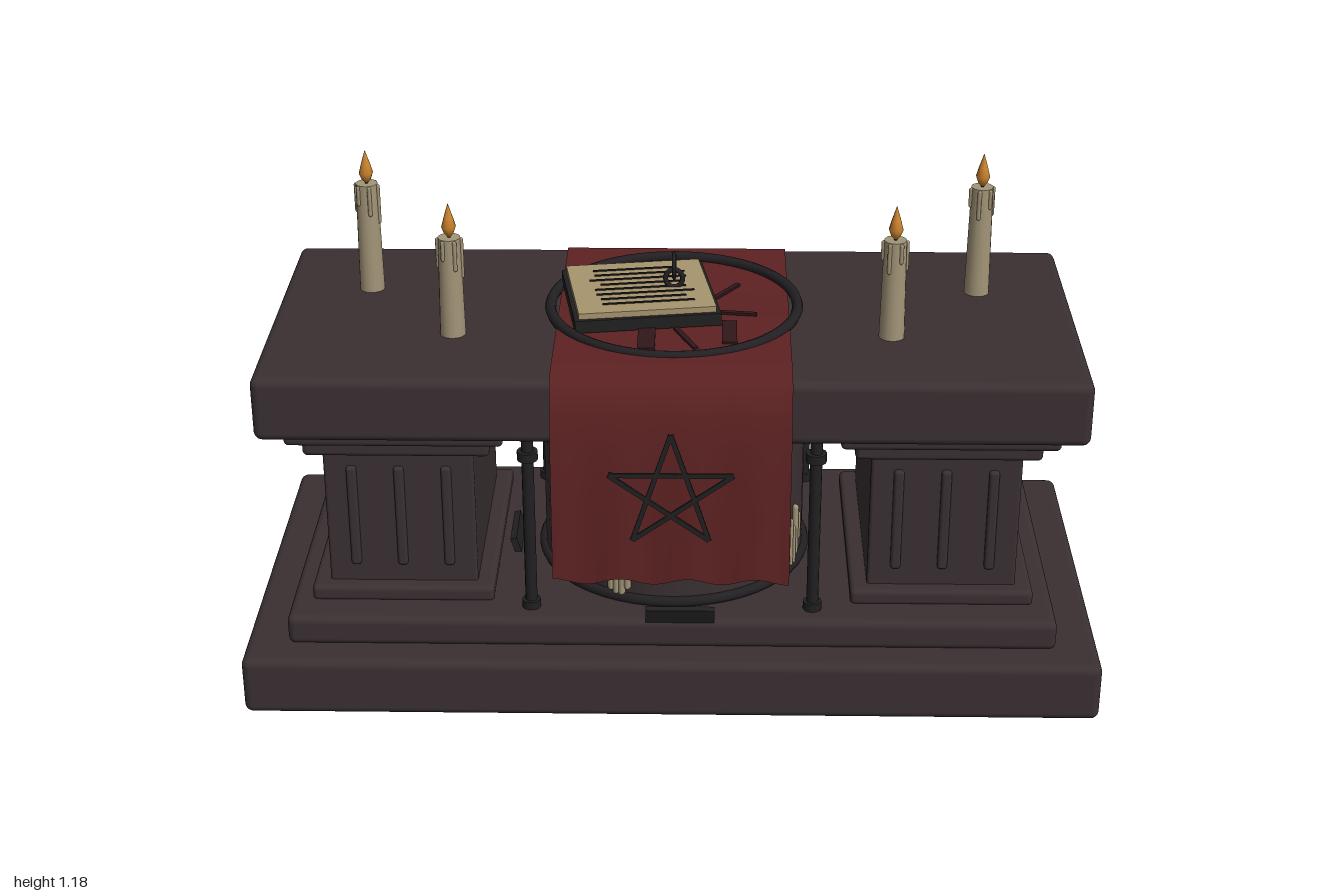
import * as THREE from 'three';
import { RoundedBoxGeometry } from 'three/addons/geometries/RoundedBoxGeometry.js';

const mat = (name, color, side = THREE.FrontSide) => {
  const m = new THREE.MeshStandardMaterial({ color, side });
  m.name = name;
  return m;
};

export function createModel() {
  const root = new THREE.Group();
  root.name = 'altar';
  const stone = mat('dark stone', 0x3a3032);
  const iron = mat('black iron', 0x222022);
  const red = mat('red cloth', 0x5e2222, THREE.DoubleSide);
  const stain = mat('dark stain', 0x321719);
  const wax = mat('candle wax', 0xa39578);
  const paper = mat('old paper', 0xa8956f);
  const fire = mat('flame orange', 0xcc842f);

  const add = (name, geo, m, x = 0, y = 0, z = 0, parent = root) => {
    const mesh = new THREE.Mesh(geo, m);
    mesh.name = name;
    mesh.position.set(x, y, z);
    parent.add(mesh);
    return mesh;
  };
  // rounded slab between two heights
  const slab = (name, w, d, y0, y1, r, x = 0, m = stone) =>
    add(name, new RoundedBoxGeometry(w, y1 - y0, d, 3, r), m, x, (y0 + y1) / 2, 0);
  const box = (w, h, d) => new THREE.BoxGeometry(w, h, d);
  const tube = (pts, r, closed = false) => new THREE.TubeGeometry(
    new THREE.CatmullRomCurve3(pts.map(p => new THREE.Vector3(...p)), closed, 'catmullrom', 0.1),
    pts.length * 6, r, 6, closed);

  // steps and table top
  slab('baseStep', 2, 0.94, 0, 0.145, 0.02);
  slab('upperStep', 1.8, 0.78, 0.14, 0.215, 0.018);
  slab('tableTop', 1.885, 0.78, 0.675, 0.83, 0.02);

  // fluted pedestals
  for (const s of [-1, 1]) {
    const cx = s * 0.635;
    slab('pedestalFoot', 0.43, 0.61, 0.21, 0.25, 0.012, cx);
    slab('pedestalShaft', 0.35, 0.54, 0.24, 0.61, 0.008, cx);
    slab('pedestalCap', 0.43, 0.61, 0.595, 0.64, 0.012, cx);
    slab('pedestalCornice', 0.5, 0.68, 0.638, 0.68, 0.012, cx);
    for (const f of [-1, 1]) for (const dx of [-0.11, 0, 0.11])
      add('flute', new RoundedBoxGeometry(0.024, 0.26, 0.024, 2, 0.008), stone, cx + dx, 0.425, f * 0.27);
  }

  // central drum with bands
  add('drum', new THREE.CylinderGeometry(0.315, 0.315, 0.46, 40), stone, 0, 0.445, 0);
  for (const y of [0.225, 0.64]) {
    const band = add('drumBand', new THREE.TorusGeometry(0.318, 0.013, 8, 48), iron, 0, y, 0);
    band.rotation.x = Math.PI / 2;
  }

  // cracks running down the drum
  for (const a of [0.02, 0.75, 2.2, 3.05, 3.75, 5.2]) {
    const pts = [];
    for (let i = 0; i < 8; i++) {
      const t = a + (i % 2 ? 0.045 : -0.03) + i * 0.008;
      pts.push([Math.sin(t) * 0.316, 0.6 - i * 0.042, Math.cos(t) * 0.316]);
    }
    add('crack', tube(pts, 0.005), iron);
  }

  // wax runs on the drum
  for (const a of [-0.38, 1.12, 3.58])
    [0.13, 0.16, 0.09, 0.12, 0.06].forEach((h, i) => {
      const t = a + (i - 2) * 0.045;
      add('waxRun', new THREE.CapsuleGeometry(0.008, h, 3, 8), wax,
        Math.sin(t) * 0.319, 0.375 - h / 2 - (i % 3) * 0.025, Math.cos(t) * 0.319);
    });

  // iron posts with collars
  for (const x of [-0.33, 0.33]) for (const z of [-0.325, 0.325]) {
    add('post', new THREE.CylinderGeometry(0.014, 0.014, 0.465, 12), iron, x, 0.445, z);
    add('postCollar', new THREE.CylinderGeometry(0.024, 0.024, 0.022, 12), iron, x, 0.615, z);
    add('postFoot', new THREE.CylinderGeometry(0.022, 0.022, 0.02, 12), iron, x, 0.225, z);
  }

  // broken stone shards leaning outward
  [[0.02, 0.385, 0.16, 0.3], [0.02, -0.385, 0.16, -0.3]].forEach(([x, z, w, tilt]) => {
    add('shard', box(w, 0.045, 0.014), iron, x, 0.228, z).rotation.x = tilt;
  });
  add('sideShard', box(0.016, 0.045, 0.14), iron, -0.385, 0.23, 0).rotation.z = 0.3;

  // cloth draped over the top and front, with a wavy hem
  const drape = [[-0.36, 0.842], [0, 0.846], [0.3, 0.852], [0.385, 0.85], [0.418, 0.836],
    [0.432, 0.77], [0.446, 0.69], [0.448, 0.52], [0.45, 0.355]];
  const cols = 32;
  const cloth = new THREE.PlaneGeometry(1, 1, cols, drape.length - 1);
  const cp = cloth.attributes.position;
  for (let i = 0; i < cp.count; i++) {
    const u = cp.getX(i);
    const row = Math.floor(i / (cols + 1));
    const [z, y] = drape[row];
    const hang = Math.max(0, row - 5) / 3;
    const wave = Math.sin(u * 22);
    cp.setXYZ(i, u * 0.54, y + hang * hang * 0.009 * wave, z + hang * 0.004 * wave);
  }
  cloth.computeVertexNormals();
  add('cloth', cloth, red);

  // five-pointed star in a thin plane in front of the cloth
  const star = new THREE.Group();
  star.name = 'starSign';
  star.position.set(0, 0.59, 0.461);
  root.add(star);
  const tip = k => [Math.sin(k * Math.PI * 0.8) * 0.147, Math.cos(k * Math.PI * 0.8) * 0.147];
  for (let k = 0; k < 5; k++) {
    const [ax, ay] = tip(k), [bx, by] = tip(k + 1);
    add('starStroke', box(Math.hypot(bx - ax, by - ay), 0.011, 0.005), iron,
      (ax + bx) / 2, (ay + by) / 2, 0, star).rotation.z = Math.atan2(by - ay, bx - ax);
  }

  // ring and stains on the table top
  const ring = add('tableRing', new THREE.TorusGeometry(0.291, 0.013, 8, 64), iron, 0, 0.85, 0);
  ring.rotation.x = Math.PI / 2;
  [[-0.06, 0.2, 0.04, 0.12, 0], [0.13, 0.165, 0.035, 0.12, 0], [0.13, 0.055, 0.012, 0.13, 1.45],
    [0.11, -0.05, 0.012, 0.15, -0.6], [0.03, 0.2, 0.012, 0.12, 0.4]].forEach(([x, z, w, d, r]) => {
    add('stain', box(w, 0.006, d), stain, x, 0.853, z).rotation.y = r;
  });

  // open book with lines of marks
  const book = new THREE.Group();
  book.name = 'book';
  book.position.set(-0.08, 0, 0);
  book.rotation.y = 0.155;
  root.add(book);
  add('bookCover', box(0.34, 0.03, 0.305), iron, 0, 0.867, 0, book);
  add('bookPages', box(0.32, 0.014, 0.285), paper, 0, 0.889, 0, book);
  for (let i = 0; i < 8; i++) {
    const w = 0.2 + (i * 7 % 3) * 0.015;
    add('inkLine', box(w, 0.003, 0.006), iron, (i % 2) * 0.008, 0.897, -0.1 + i * 0.028, book);
  }

  // two linked iron loops standing on the book
  const lower = add('lowerLink', new THREE.TorusGeometry(0.02, 0.006, 8, 20), iron, 0, 0.916, 0);
  lower.scale.y = 1.1;
  const upper = add('upperLink', new THREE.TorusGeometry(0.02, 0.005, 8, 24), iron, 0, 0.948, 0);
  upper.rotation.y = Math.PI / 2;
  upper.scale.y = 1.4;

  // candles with drips and flames
  const flameShape = [[0, 0], [0.011, 0.012], [0.017, 0.028], [0.011, 0.05], [0, 0.085]]
    .map(p => new THREE.Vector2(...p));
  for (const [x, z, h] of [[-0.73, -0.13, 0.27], [0.725, -0.13, 0.27], [-0.51, 0.13, 0.24], [0.505, 0.13, 0.24]]) {
    const c = new THREE.Group();
    c.name = 'candle';
    c.position.set(x, 0.83, z);
    root.add(c);
    add('candleBody', new THREE.CylinderGeometry(0.026, 0.03, h, 16), wax, 0, h / 2, 0, c);
    add('wick', new THREE.CylinderGeometry(0.004, 0.004, 0.014, 6), iron, 0, h + 0.004, 0, c);
    add('flame', new THREE.LatheGeometry(flameShape, 10), fire, 0, h - 0.002, 0, c);
    for (let k = 0; k < 6; k++) {
      const a = k * 1.05 + x, len = 0.04 + (k * 5 % 4) * 0.025;
      add('drip', new THREE.CapsuleGeometry(0.005, len, 3, 6), wax,
        Math.sin(a) * 0.027, h - len / 2 - 0.006, Math.cos(a) * 0.027, c);
    }
  }
  return root;
}
